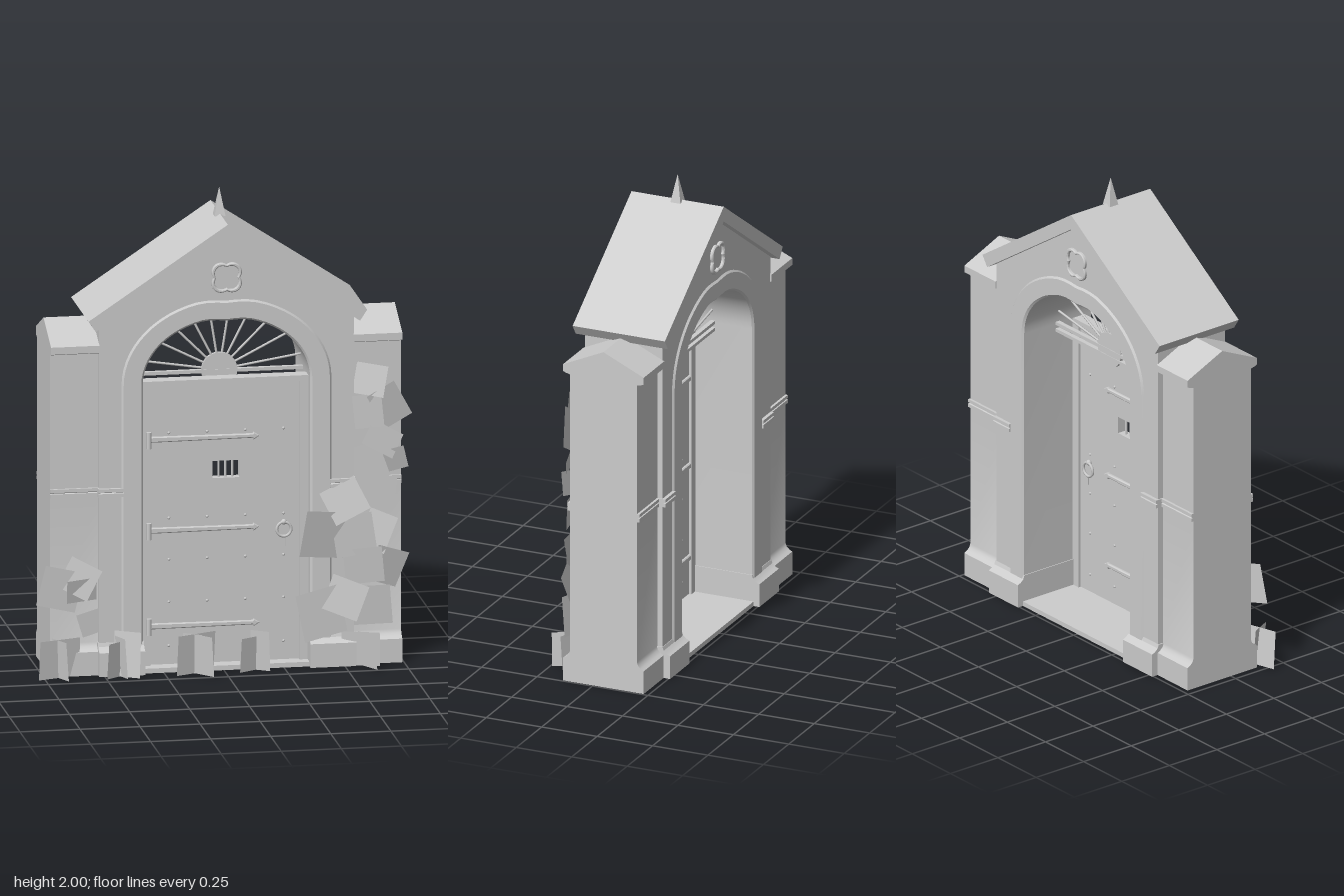
import * as THREE from 'three';
import { toCreasedNormals } from 'three/addons/utils/BufferGeometryUtils.js';

const stone = new THREE.MeshStandardMaterial({ color: 0xcccccc, side: THREE.DoubleSide });
stone.name = 'plain grey';

function add(parent, name, geometry, x = 0, y = 0, z = 0) {
  const mesh = new THREE.Mesh(geometry, stone);
  mesh.name = name;
  mesh.position.set(x, y, z);
  parent.add(mesh);
  return mesh;
}

const box = (w, h, d) => new THREE.BoxGeometry(w, h, d);
const shapeOf = (pts) => new THREE.Shape(pts.map(([x, y]) => new THREE.Vector2(x, y)));

// Extrusion centred on z = 0
function slab(shape, depth, bevel = 0) {
  const g = new THREE.ExtrudeGeometry(shape, {
    depth: depth - 2 * bevel, bevelEnabled: bevel > 0, bevelSize: bevel,
    bevelThickness: bevel, bevelOffset: -bevel, bevelSegments: 1,
  });
  g.translate(0, 0, -depth / 2 + bevel);
  return toCreasedNormals(g, 0.5);
}

// Half profile [z, y] mirrored front to back and run along x from x0 to x1
function course(half, x0, x1) {
  const mirrored = half.map(([z, y]) => [-z, y]).reverse();
  const g = slab(shapeOf([...half, ...mirrored]), x1 - x0);
  g.rotateY(Math.PI / 2);
  g.translate((x0 + x1) / 2, 0, 0);
  return g;
}

// Arch outline from left foot to right foot, with a slight dip at the crown
function archPoints(rx, ry, spring = 1.22) {
  const pts = [[-rx, 0]];
  const n = 32;
  for (let i = 0; i <= n; i++) {
    const a = Math.PI * (1 - i / n);
    const x = Math.cos(a);
    pts.push([rx * x, spring + ry * Math.sin(a) - 0.012 * Math.max(0, 1 - Math.abs(x) * 4)]);
  }
  pts.push([rx, 0]);
  return pts;
}

// Rod between two points
function rod(parent, name, a, b, r) {
  const d = new THREE.Vector3().subVectors(b, a);
  const m = add(parent, name, new THREE.CylinderGeometry(r, r, d.length(), 8));
  m.position.addVectors(a, b).multiplyScalar(0.5);
  m.quaternion.setFromUnitVectors(new THREE.Vector3(0, 1, 0), d.normalize());
}

function buildMasonry(g) {
  add(g, 'gableWall', slab(shapeOf([[-0.53, 0], [-0.53, 1.473], [0, 1.825], [0.53, 1.473], [0.53, 0],
    ...archPoints(0.38, 0.3).reverse()]), 0.35));
  add(g, 'archTrim', slab(shapeOf([...archPoints(0.437, 0.353),
    ...archPoints(0.348, 0.268).reverse()]), 0.366, 0.008));
  add(g, 'threshold', box(0.7, 0.02, 0.37), 0, 0.01, 0);

  // Pier section: plinth, string course, eave moulding and small gable
  const pier = [[0.182, 0], [0.182, 0.1], [0.168, 0.108], [0.156, 0.12], [0.151, 0.135], [0.151, 0.753],
    [0.162, 0.753], [0.162, 0.768], [0.155, 0.77], [0.162, 0.774], [0.162, 0.788], [0.151, 0.788],
    [0.151, 1.355], [0.17, 1.36], [0.182, 1.365], [0.182, 1.395], [0, 1.478]];
  const plinth = [[0.211, 0], [0.211, 0.1], [0.195, 0.108], [0.182, 0.12], [0.177, 0.135], [0, 0.135]];
  const band = [[0.17, 0.753], [0.19, 0.753], [0.19, 0.768], [0.18, 0.77], [0.19, 0.774],
    [0.19, 0.788], [0.17, 0.788]];
  for (const s of [-1, 1]) {
    const run = (half, a, b) => course(half, Math.min(s * a, s * b), Math.max(s * a, s * b));
    add(g, 'sidePier', run(pier, 0.528, 0.731));
    add(g, 'plinth', run(plinth, 0.344, 0.535));
    add(g, 'stringCourse', run(band, 0.43, 0.535));
  }

  // Roof and finial
  add(g, 'roof', slab(shapeOf([[-0.58, 1.505], [0, 1.89], [0.58, 1.505], [0.55, 1.46],
    [0, 1.825], [-0.55, 1.46]]), 0.416));
  const finial = new THREE.ConeGeometry(0.032, 0.12, 4).toNonIndexed();
  finial.rotateY(Math.PI / 4);
  finial.computeVertexNormals();
  add(g, 'finial', finial, 0, 1.94, 0);

  // Four-lobed gable ornament, front and back
  const lobes = (k) => Array.from({ length: 48 }, (_, i) => {
    const a = i / 48 * Math.PI * 2;
    const r = k * (0.056 + 0.017 * Math.abs(Math.sin(2 * a)));
    return [r * Math.cos(a), r * Math.sin(a)];
  });
  const ring = shapeOf(lobes(1));
  ring.holes.push(shapeOf(lobes(0.79)));
  for (const s of [-1, 1]) add(g, 'gableOrnament', slab(ring, 0.02, 0.004), 0, 1.66, s * 0.178);
}

// Door leaf, frame and ironwork, centred on its own plane
function buildDoor(g) {
  for (const s of [-1, 1]) add(g, 'doorJamb', box(0.042, 1.22, 0.06), s * 0.331, 0.61, 0);
  add(g, 'frameHead', box(0.69, 0.024, 0.06), 0, 1.21, 0);

  // Leaf with a barred opening
  const leaf = shapeOf([[-0.31, 0.022], [0.31, 0.022], [0.31, 1.2], [-0.31, 1.2]]);
  leaf.holes.push(shapeOf([[-0.05, 0.8], [-0.05, 0.873], [0.063, 0.873], [0.063, 0.8]]));
  add(g, 'doorLeaf', slab(leaf, 0.04));
  for (const x of [-0.022, 0.0065, 0.035]) {
    add(g, 'windowBar', new THREE.CylinderGeometry(0.005, 0.005, 0.08, 8), x, 0.8365, 0);
  }

  for (const s of [-1, 1]) {
    const z = s * 0.02;
    // Hinge straps with pointed ends
    for (const y of [0.975, 0.59, 0.185]) {
      add(g, 'hingeStrap', slab(shapeOf([[-0.31, y - 0.012], [0.115, y - 0.009], [0.12, y - 0.016],
        [0.145, y], [0.12, y + 0.016], [0.115, y + 0.009], [-0.31, y + 0.012]]), 0.022, 0.004), 0, 0, z);
      if (s > 0) add(g, 'hingePin', new THREE.CylinderGeometry(0.011, 0.011, 0.07, 10), -0.318, y, 0.036);
    }
    // Studs
    for (const x of [-0.232, -0.073, 0.086, 0.245]) {
      for (const y of [1.0, 0.64, 0.465, 0.285, 0.1]) {
        add(g, 'stud', new THREE.SphereGeometry(0.006, 8, 6), x, y, z);
      }
    }
    // Ring handle and lock plate
    add(g, 'handleRing', new THREE.TorusGeometry(0.03, 0.006, 8, 20), 0.245, 0.575, z + s * 0.012);
    add(g, 'handleBoss', new THREE.SphereGeometry(0.012, 10, 8), 0.245, 0.605, z + s * 0.008);
    add(g, 'lockPlate', box(0.016, 0.04, 0.008), 0.262, 0.52, z);
  }
}

// Sunburst fanlight on its own pair of rails, set behind the door
function buildFanlight(g) {
  for (const y of [1.222, 1.192]) add(g, 'fanRail', box(0.7, 0.014, 0.02), 0, y, 0);
  const hub = new THREE.CylinderGeometry(0.075, 0.075, 0.016, 32);
  hub.rotateX(Math.PI / 2);
  add(g, 'fanHub', hub, 0, 1.225, 0);
  for (let i = 0; i < 10; i++) {
    const a = THREE.MathUtils.degToRad(9 + 18 * i);
    const at = (r) => new THREE.Vector3(Math.cos(a) * r, 1.225 + Math.sin(a) * r, 0);
    const reach = 1 / Math.hypot(Math.cos(a) / 0.355, Math.sin(a) / 0.27);
    rod(g, 'fanSpoke', at(0.07), at(reach), 0.005);
  }
}

function buildPlants(g) {
  // Ivy cards: x, y, width, height, turn, z
  const ivy = [
    [0.61, 1.2, 0.13, 0.13, -0.2, 0.13], [0.69, 1.09, 0.13, 0.17, 0.5, 0.13],
    [0.6, 1.07, 0.12, 0.14, 0.1, 0.14], [0.66, 0.95, 0.15, 0.11, -0.5, 0.14],
    [0.71, 0.86, 0.1, 0.1, 0.25, 0.13], [0.6, 0.85, 0.14, 0.16, 0.35, 0.13],
    [0.63, 0.73, 0.17, 0.14, -0.15, 0.14], [0.5, 0.7, 0.16, 0.15, 0.45, 0.16],
    [0.42, 0.56, 0.2, 0.2, -0.15, 0.16], [0.54, 0.55, 0.17, 0.17, 0.15, 0.15],
    [0.64, 0.56, 0.12, 0.16, -0.4, 0.13], [0.68, 0.41, 0.14, 0.16, -0.35, 0.13],
    [0.58, 0.42, 0.16, 0.15, 0.1, 0.15], [0.4, 0.23, 0.19, 0.2, 0.2, 0.17],
    [0.5, 0.29, 0.16, 0.15, -0.4, 0.16], [0.61, 0.25, 0.17, 0.17, 0.1, 0.14],
    [-0.68, 0.37, 0.17, 0.17, -0.25, 0.13], [-0.6, 0.41, 0.14, 0.14, -0.5, 0.13],
    [-0.59, 0.36, 0.13, 0.1, 0.02, 0.13], [-0.55, 0.22, 0.1, 0.1, 0.3, 0.12],
  ];
  ivy.forEach(([x, y, w, h, turn, z], i) => {
    const card = add(g, 'ivyLeaf', new THREE.PlaneGeometry(w, h), x, y, z);
    card.rotation.set(((i * 5) % 7 - 3) * 0.07, ((i * 3) % 5 - 2) * 0.1, turn);
  });

  // Grass cards leaning slightly forward: x0, z0, x1, z1, height
  const grass = [
    [-0.775, 0.185, -0.6, 0.13, 0.165], [-0.71, 0.13, -0.665, 0.22, 0.165],
    [-0.36, 0.21, -0.46, 0.15, 0.19], [-0.495, 0.215, -0.39, 0.14, 0.15], [-0.45, 0.15, -0.42, 0.22, 0.17],
    [-0.205, 0.21, -0.04, 0.14, 0.17], [-0.14, 0.165, -0.065, 0.25, 0.17], [-0.17, 0.15, -0.1, 0.2, 0.17],
    [0.06, 0.2, 0.17, 0.14, 0.145], [0.11, 0.15, 0.18, 0.195, 0.17],
    [0.49, 0.14, 0.64, 0.19, 0.145], [0.56, 0.15, 0.615, 0.245, 0.145],
  ];
  for (const [x0, z0, x1, z1, h] of grass) {
    const card = add(g, 'grassTuft', new THREE.PlaneGeometry(Math.hypot(x1 - x0, z1 - z0), h),
      (x0 + x1) / 2, h / 2, (z0 + z1) / 2);
    card.rotation.set(0.08, Math.atan2(z0 - z1, x1 - x0), 0, 'YXZ');
  }
}

export function createModel() {
  const model = new THREE.Group();
  model.name = 'archedGateway';
  const group = (name, build, x, z) => {
    const g = new THREE.Group();
    g.name = name;
    g.position.set(x, 0, z);
    build(g);
    model.add(g);
  };
  group('masonry', buildMasonry, 0.012, -0.046);
  group('door', buildDoor, 0.012, 0.064);
  group('fanlight', buildFanlight, 0.012, -0.046);
  group('plants', buildPlants, 0, 0);
  return model;
}
